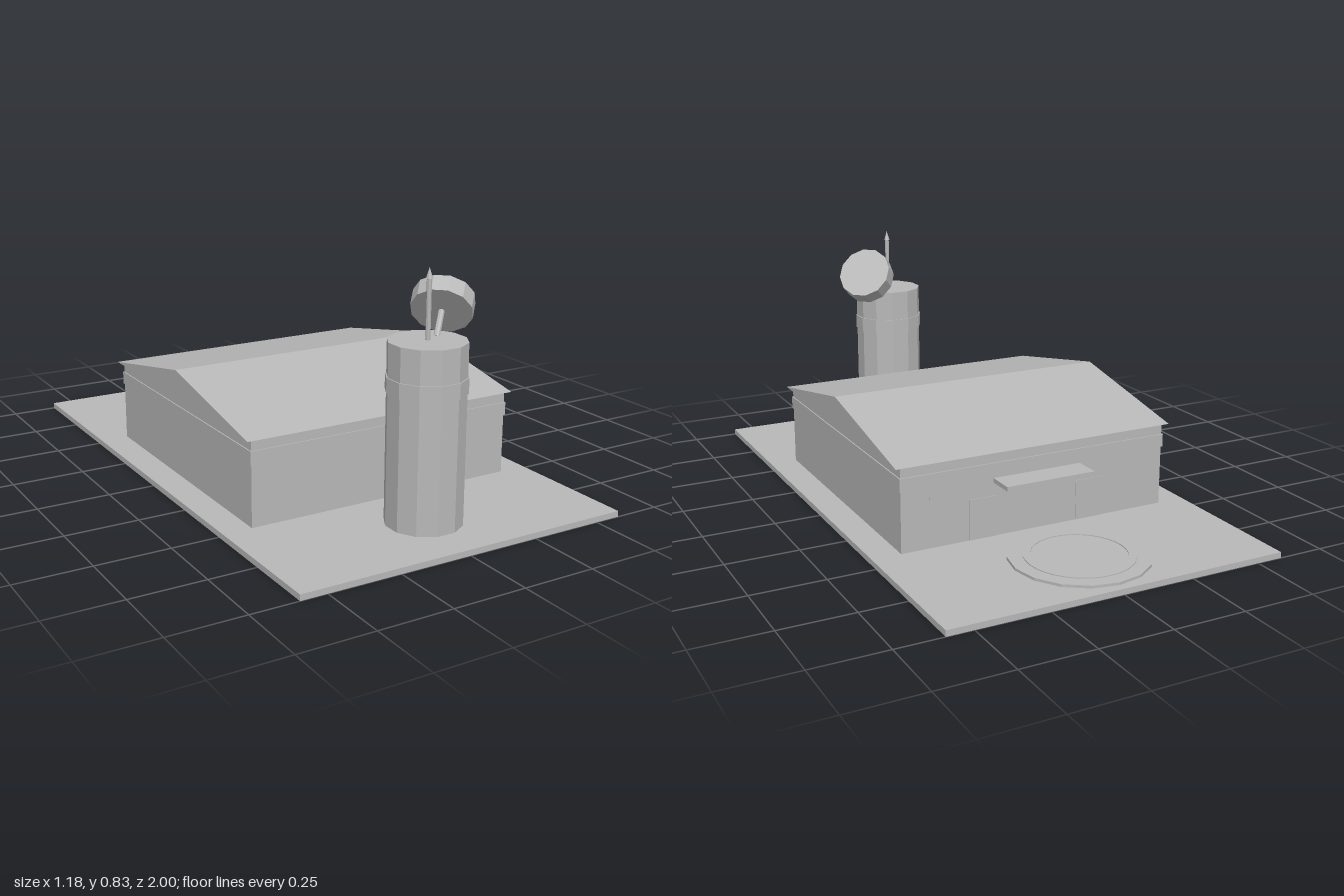
import * as THREE from 'three';

export function createModel() {
  const model = new THREE.Group();
  const grey = new THREE.MeshStandardMaterial({ color: 0xb8b8b8, flatShading: true });
  grey.name = 'plain grey';

  function add(name, geometry, x = 0, y = 0, z = 0, parent = model) {
    const mesh = new THREE.Mesh(geometry, grey);
    mesh.name = name;
    mesh.position.set(x, y, z);
    parent.add(mesh);
    return mesh;
  }
  // box resting on height y
  const box = (name, w, h, d, x, y, z, parent) =>
    add(name, new THREE.BoxGeometry(w, h, d), x, y + h / 2, z, parent);
  // upright prism resting on height y
  const drum = (name, rTop, rBottom, h, sides, x, y, z, parent, turn = 0) => {
    const mesh = add(name, new THREE.CylinderGeometry(rTop, rBottom, h, sides), x, y + h / 2, z, parent);
    mesh.rotation.y = turn;
    return mesh;
  };

  box('basePlate', 1.18, 0.02, 2, 0, 0, 0);

  // main hall: walls, belt course and gabled roof with its ridge along x
  const hall = new THREE.Group();
  hall.name = 'hall';
  hall.position.set(0, 0, 0.03);
  model.add(hall);
  box('walls', 0.98, 0.29, 1, 0, 0.02, 0, hall);
  box('wallBelt', 0.988, 0.045, 1.008, 0, 0.228, 0, hall);
  const gable = new THREE.Shape([
    new THREE.Vector2(-0.514, 0),
    new THREE.Vector2(0.514, 0),
    new THREE.Vector2(0, 0.098),
  ]);
  const roof = new THREE.ExtrudeGeometry(gable, { depth: 1.02, bevelEnabled: false });
  roof.translate(0, 0, -0.51).rotateY(Math.PI / 2);
  add('roof', roof, 0, 0.31, 0, hall);

  // back entrance: window strip, doors and canopy
  box('windowStrip', 0.78, 0.045, 0.004, 0, 0.183, -0.5, hall);
  for (const side of [-1, 1]) box('door', 0.1, 0.14, 0.004, side * 0.2, 0.02, -0.5, hall);
  box('canopy', 0.325, 0.015, 0.1, 0, 0.206, -0.545, hall);

  // round pad behind the hall with a raised ring
  const pad = new THREE.Group();
  pad.name = 'pad';
  pad.position.set(0, 0.02, -0.743);
  model.add(pad);
  drum('padDisc', 0.23, 0.23, 0.009, 16, 0, 0, 0, pad);
  const ring = new THREE.Shape().absarc(0, 0, 0.18, 0, Math.PI * 2);
  ring.holes.push(new THREE.Path().absarc(0, 0, 0.155, 0, Math.PI * 2, true));
  const ringGeo = new THREE.ExtrudeGeometry(ring, { depth: 0.003, bevelEnabled: false, curveSegments: 16 });
  add('padRing', ringGeo.rotateX(-Math.PI / 2), 0, 0.009, 0, pad);

  // twelve-sided tower with collar and spiked mast
  const tower = new THREE.Group();
  tower.name = 'tower';
  tower.position.set(0, 0, 0.753);
  model.add(tower);
  const turn = Math.PI / 12;
  drum('towerShaft', 0.126, 0.126, 0.59, 12, 0, 0.02, 0, tower, turn);
  drum('towerCollar', 0.13, 0.13, 0.05, 12, 0, 0.45, 0, tower, turn);
  drum('mast', 0.008, 0.008, 0.19, 8, 0, 0.61, 0, tower);
  drum('mastTip', 0, 0.011, 0.035, 8, 0, 0.8, 0, tower);

  // drum-shaped dish on an arm, tilted up, outward and back
  const dish = new THREE.Group();
  dish.name = 'dish';
  dish.position.set(0.133, 0.685, 0.645);
  dish.quaternion.setFromUnitVectors(new THREE.Vector3(0, 1, 0), new THREE.Vector3(1, 1, -1).normalize());
  model.add(dish);
  drum('dishDrum', 0.1, 0.1, 0.062, 12, 0, -0.031, 0, dish);
  drum('dishArm', 0.01, 0.01, 0.115, 8, 0, -0.14, 0, dish);

  return model;
}
